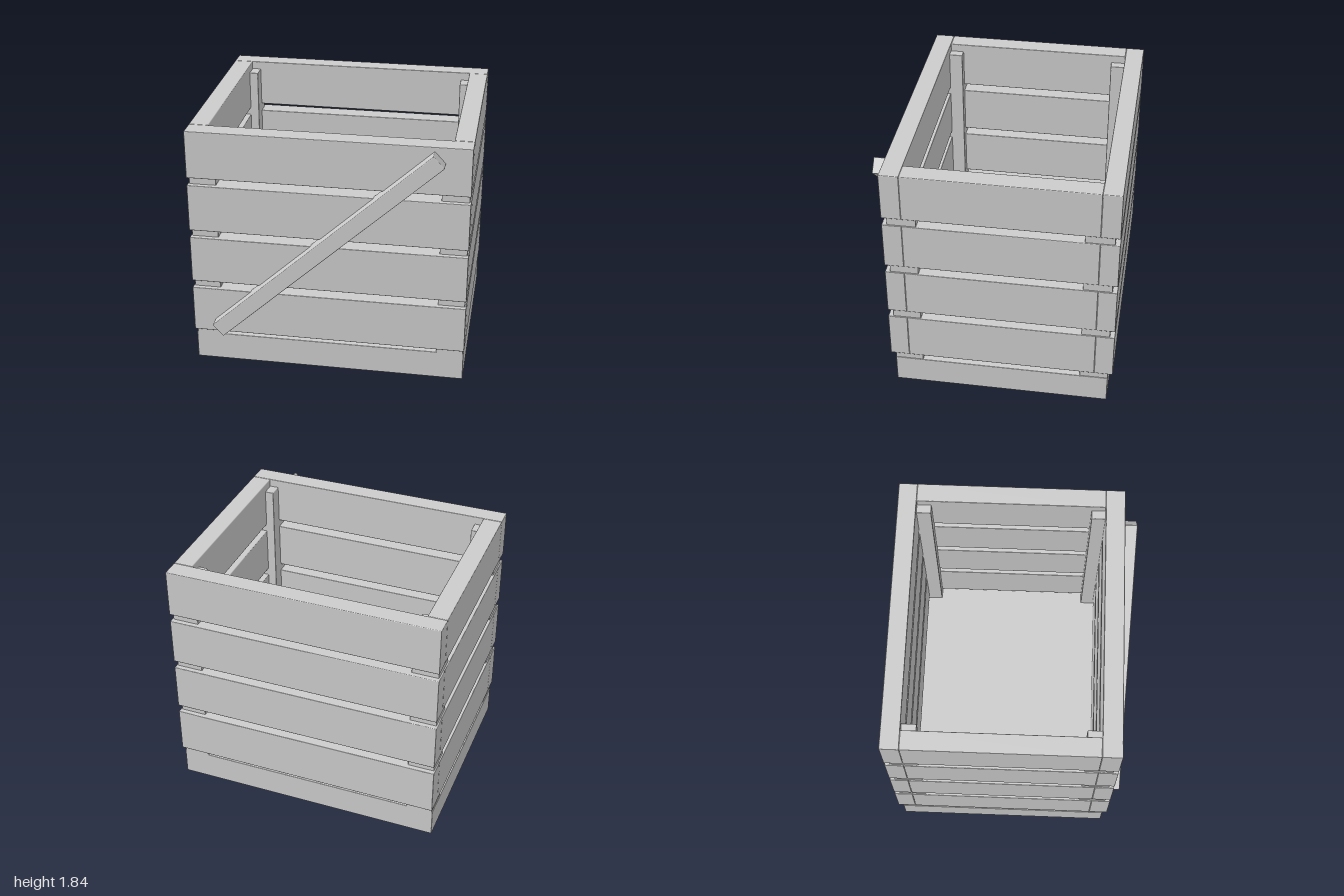
import * as THREE from 'three';
import { RoundedBoxGeometry } from 'three/addons/geometries/RoundedBoxGeometry.js';

export function createModel() {
  const crate = new THREE.Group();
  crate.name = 'slattedCrate';
  const wood = new THREE.MeshStandardMaterial({ color: 0xcccccc });
  wood.name = 'paleGrey';

  // Board with slightly eased edges, given by its extents on each axis
  function board(name, [x0, x1], [y0, y1], [z0, z1]) {
    const geometry = new RoundedBoxGeometry(x1 - x0, y1 - y0, z1 - z0, 1, 0.006);
    const mesh = new THREE.Mesh(geometry, wood);
    mesh.name = name;
    mesh.position.set((x0 + x1) / 2, (y0 + y1) / 2, (z0 + z1) / 2);
    crate.add(mesh);
    return mesh;
  }

  // Solid floor slab
  board('base', [-0.995, 0.995], [0, 0.213], [-0.83, 0.74]);

  // Four rings of slats
  for (let i = 0; i < 4; i++) {
    const y = [0.257 + i * 0.41, 0.61 + i * 0.41];
    board('frontSlat', [-1, 1], y, [0.635, 0.775]);
    board('backSlat', [-1, 1], y, [-0.865, -0.73]);
    board('leftSlat', [0.86, 1], y, [-0.73, 0.635]);
    board('rightSlat', [-1, -0.86], y, [-0.73, 0.635]);
  }

  // Corner posts, showing through the gaps
  for (const x of [[0.795, 0.99], [-0.99, -0.795]]) {
    board('frontPost', x, [0.2, 1.78], [0.535, 0.74]);
    board('backPost', x, [0.2, 1.78], [-0.83, -0.625]);
  }

  // Diagonal brace across the front
  const brace = board('diagonalBrace', [-1.074, 1.074], [-0.058, 0.058], [0.738, 0.865]);
  brace.position.x = -0.01;
  brace.position.y = 1.04;
  brace.rotation.z = 0.744;

  return crate;
}
